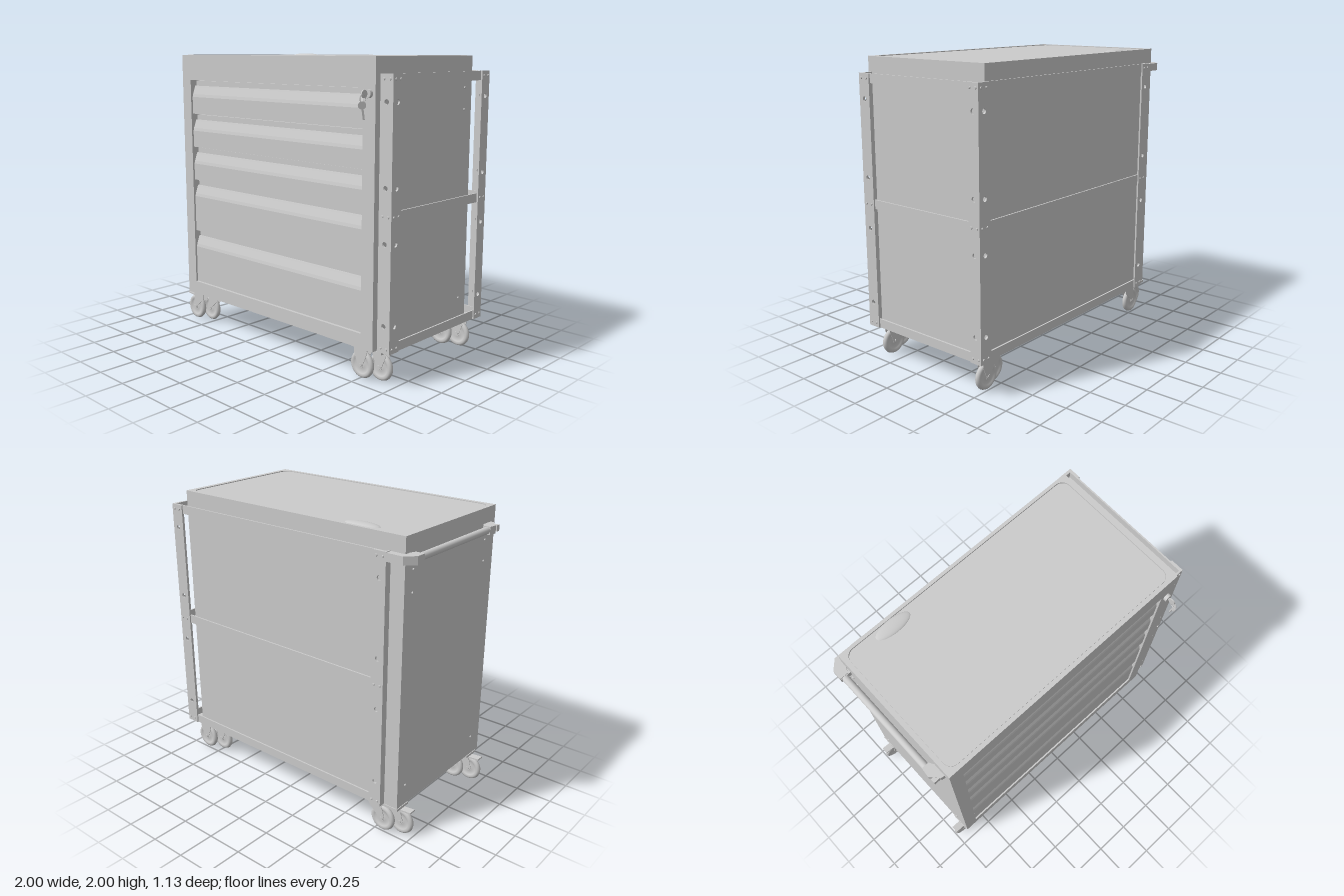
import * as THREE from 'three';

const grey = new THREE.MeshStandardMaterial({ color: 0xcccccc, side: THREE.DoubleSide });

function add(parent, name, geo, x = 0, y = 0, z = 0) {
  const m = new THREE.Mesh(geo, grey);
  m.name = name;
  m.position.set(x, y, z);
  parent.add(m);
  return m;
}

// box given by its limits on each axis
function block(parent, name, x0, x1, y0, y1, z0, z1) {
  return add(parent, name, new THREE.BoxGeometry(x1 - x0, y1 - y0, z1 - z0),
    (x0 + x1) / 2, (y0 + y1) / 2, (z0 + z1) / 2);
}

const poly = pts => new THREE.Shape(pts.map(p => new THREE.Vector2(...p)));
const rect = (x0, x1, y0, y1) => poly([[x0, y0], [x1, y0], [x1, y1], [x0, y1]]);
const extrude = (shape, depth) =>
  new THREE.ExtrudeGeometry(shape, { depth, bevelEnabled: false, curveSegments: 8 });

function roundRect(x0, x1, y0, y1, r) {
  const s = new THREE.Shape();
  s.absarc(x1 - r, y1 - r, r, 0, Math.PI / 2);
  s.absarc(x0 + r, y1 - r, r, Math.PI / 2, Math.PI);
  s.absarc(x0 + r, y0 + r, r, Math.PI, Math.PI * 1.5);
  s.absarc(x1 - r, y0 + r, r, Math.PI * 1.5, Math.PI * 2);
  return s;
}

// horizontal slab whose outline is drawn in x and -z
const slab = (shape, h) => extrude(shape, h).rotateX(-Math.PI / 2);

// domed bolt head pointing along x or z
function bolt(parent, axis, x, y, z, r = 0.009) {
  const g = new THREE.CylinderGeometry(r * 0.7, r, 0.008, 10);
  if (axis === 'x') g.rotateZ(x > 0 ? -Math.PI / 2 : Math.PI / 2);
  else g.rotateX(z > 0 ? Math.PI / 2 : -Math.PI / 2);
  add(parent, 'bolt', g, x, y, z);
}

const X0 = -0.925, X1 = 0.89, Z0 = -0.51, Z1 = 0.47, FLOOR = 0.22, T = 0.012;

function cabinet() {
  const g = new THREE.Group();
  g.name = 'cabinet';
  block(g, 'cabinetBody', X0, X1, FLOOR, 1.97, Z0, 0.4);
  const face = rect(X0, X1, FLOOR, 1.97);
  face.holes.push(rect(-0.835, 0.795, 0.315, 1.81));
  add(g, 'frontFrame', extrude(face, Z1 - 0.4), 0, 0, 0.4);
  // raised rim around the top tray, with a slightly wavy mat inside
  const rim = rect(X0, X1, -Z1, -Z0);
  rim.holes.push(roundRect(-0.895, 0.857, -0.442, 0.488, 0.06));
  add(g, 'topRim', slab(rim, 0.017), 0, 1.97, 0);
  add(g, 'topMat', slab(roundRect(-0.893, 0.855, -0.44, 0.486, 0.06), 0.012), 0, 1.97, 0);
  const bump = add(g, 'matRipple', new THREE.SphereGeometry(1, 24, 8, 0, Math.PI * 2, 0, Math.PI / 2), -0.57, 1.978, -0.44);
  bump.scale.set(0.13, 0.018, 0.05);
  // side bolts
  for (const y of [0.36, 1.64, 1.78])
    for (const z of [-0.43, 0.36]) {
      bolt(g, 'x', X0 - 0.003, y, z);
      if (z < 0) bolt(g, 'x', X1 + 0.003, y, z);
    }
  return g;
}

// drawer fronts with a recessed finger pull and a sloped upper edge
function drawers() {
  const g = new THREE.Group();
  g.name = 'drawers';
  const edges = [1.81, 1.567, 1.327, 1.086, 0.705, 0.318];
  for (let i = 0; i < 5; i++) {
    const top = edges[i] - 0.006, low = edges[i + 1] + 0.002;
    const p = poly([[0.39, low], [0.46, low], [0.46, top - 0.115], [0.455, top - 0.095],
      [0.437, top - 0.045], [0.434, top - 0.036], [0.422, top - 0.036], [0.422, top], [0.39, top]]);
    add(g, 'drawer', extrude(p, 1.62).rotateY(-Math.PI / 2), 0.79, 0, 0);
  }
  return g;
}

function lock() {
  const g = new THREE.Group();
  g.name = 'lock';
  const disc = (name, r, h, x, y, z) => add(g, name, new THREE.CylinderGeometry(r, r, h, 20).rotateX(Math.PI / 2), x, y, z);
  disc('lockBarrel', 0.026, 0.025, 0.845, 1.775, 0.48);
  block(g, 'keyBlade', 0.841, 0.849, 1.768, 1.782, 0.48, 0.52);
  add(g, 'keyHead', new THREE.CylinderGeometry(0.024, 0.024, 0.008, 20).rotateZ(Math.PI / 2), 0.845, 1.775, 0.518);
  add(g, 'keyRing', new THREE.TorusGeometry(0.024, 0.003, 6, 20).rotateY(Math.PI / 2), 0.848, 1.75, 0.535);
  const spare = new THREE.Group();
  spare.name = 'spareKey';
  add(spare, 'keyHead', new THREE.CylinderGeometry(0.024, 0.024, 0.008, 20).rotateX(Math.PI / 2));
  add(spare, 'keyBlade', new THREE.BoxGeometry(0.012, 0.07, 0.006), 0, -0.05, 0);
  spare.position.set(0.853, 1.712, 0.545);
  spare.rotation.set(0.2, 0.8, 0);
  g.add(spare);
  return g;
}

const RAILS = [0.22, 1.03, 1.83], HOLES = [0.39, 0.895, 1.23, 1.73];

// upright strip pierced by the four mounting holes
function strip(w) {
  const s = rect(0, w, FLOOR, 1.89);
  for (const y of HOLES) s.holes.push(new THREE.Path().absarc(w / 2, y, 0.016, 0, Math.PI * 2));
  return extrude(s, T);
}

function frame() {
  const g = new THREE.Group();
  g.name = 'supportFrame';
  // corner posts: one strip faces front or back, the other faces sideways
  add(g, 'frontPost', strip(0.095), 0.9, 0, 0.428);
  add(g, 'frontPost', strip(0.09).rotateY(-Math.PI / 2), 0.995, 0, 0.35);
  add(g, 'backRightPost', strip(0.095), 0.9, 0, -0.555);
  add(g, 'backRightPost', strip(0.085).rotateY(-Math.PI / 2), 0.995, 0, -0.555);
  add(g, 'backLeftPost', strip(0.09), -0.825, 0, -0.555);
  block(g, 'backLeftPost', -0.825, -0.825 + T, FLOOR, 1.89, -0.555, Z0);
  for (const y of RAILS) {
    // angle rails along the side and the back
    block(g, 'sideRail', 0.975, 0.985, y, y + 0.06, -0.545, 0.43);
    block(g, 'sideRailLedge', X1, 0.98, y, y + 0.008, -0.545, 0.43);
    block(g, 'backRail', -0.82, 0.985, y, y + 0.06, -0.546, -0.536);
    block(g, 'backRailLedge', -0.82, 0.985, y, y + 0.008, -0.54, Z0);
    for (const d of [-0.022, 0.022]) {
      for (const z of [0.395, -0.513]) bolt(g, 'x', 0.997, y + 0.03, z + d);
      for (const x of [0.95, -0.78]) bolt(g, 'z', x + d, y + 0.03, -0.557);
      bolt(g, 'z', 0.95 + d, y + 0.03, 0.442);
    }
  }
  return g;
}

function pushHandle() {
  const g = new THREE.Group();
  g.name = 'pushHandle';
  const back = poly([[-0.825, 0.555], [-0.94, 0.555], [-0.998, 0.495], [-0.998, 0.43], [-0.94, 0.43], [-0.925, 0.47], [-0.9, 0.51], [-0.825, 0.51]]);
  const front = poly([[-0.925, -0.42], [-0.95, -0.415], [-0.998, -0.36], [-0.992, -0.3], [-0.942, -0.3], [-0.925, -0.33]]);
  add(g, 'handleBracket', slab(back, 0.052), 0, 1.834, 0);
  add(g, 'handleBracket', slab(front, 0.052), 0, 1.834, 0);
  add(g, 'handleBar', new THREE.CylinderGeometry(0.023, 0.023, 0.75, 24).rotateX(Math.PI / 2), -0.968, 1.86, -0.065);
  for (const z of [-0.44, 0.395]) block(g, 'bracketTab', -0.995, -0.925, 1.84, 1.88, z - 0.015, z + 0.015);
  return g;
}

// one wheel in its fork; lean shifts the fork top sideways from the axle
function wheelUnit(lean) {
  const g = new THREE.Group();
  g.name = 'wheelUnit';
  const profile = [[0.001, -0.01], [0.022, -0.013], [0.024, -0.008], [0.052, -0.008], [0.058, -0.016], [0.074, -0.018], [0.085, -0.012], [0.09, 0],
    [0.085, 0.012], [0.074, 0.018], [0.058, 0.016], [0.052, 0.008], [0.024, 0.008], [0.022, 0.013], [0.001, 0.01]];
  add(g, 'wheel', new THREE.LatheGeometry(profile.map(p => new THREE.Vector2(...p)), 36).rotateX(Math.PI / 2), 0, 0.09, 0);
  add(g, 'axle', new THREE.CylinderGeometry(0.013, 0.013, 0.058, 14).rotateX(Math.PI / 2), 0, 0.09, 0);
  const cheek = poly([[-0.018, 0.078], [0.018, 0.078], [0.024, 0.1], [lean + 0.05, 0.165], [lean + 0.052, 0.205],
    [lean - 0.052, 0.205], [lean - 0.05, 0.165], [-0.024, 0.1]]);
  for (const z of [-0.025, 0.021]) add(g, 'forkCheek', extrude(cheek, 0.004), 0, 0, z);
  block(g, 'forkTop', lean - 0.052, lean + 0.052, 0.19, 0.205, -0.025, 0.025);
  return g;
}

function caster(x, z, braked) {
  const g = new THREE.Group();
  g.name = 'caster';
  for (const s of [-1, 1]) {
    const u = wheelUnit(braked ? 0.045 : 0);
    u.position.set(s * 0.056, 0, -s * 0.024);
    g.add(u);
  }
  const c = braked ? 0.045 : 0;
  block(g, 'mountingPlate', c - 0.12, c + 0.12, 0.203, FLOOR, -0.06, 0.06);
  if (braked) {
    const pedal = block(g, 'brakePedal', -0.14, -0.02, 0.178, 0.188, -0.005, 0.045);
    pedal.rotation.z = -0.1;
  }
  g.position.set(x, 0, z);
  return g;
}

export function createModel() {
  const model = new THREE.Group();
  model.name = 'toolTrolley';
  model.add(cabinet(), drawers(), lock(), frame(), pushHandle());
  for (const z of [0.38, -0.455]) model.add(caster(-0.855, z, true), caster(0.812, z, false));
  return model;
}
